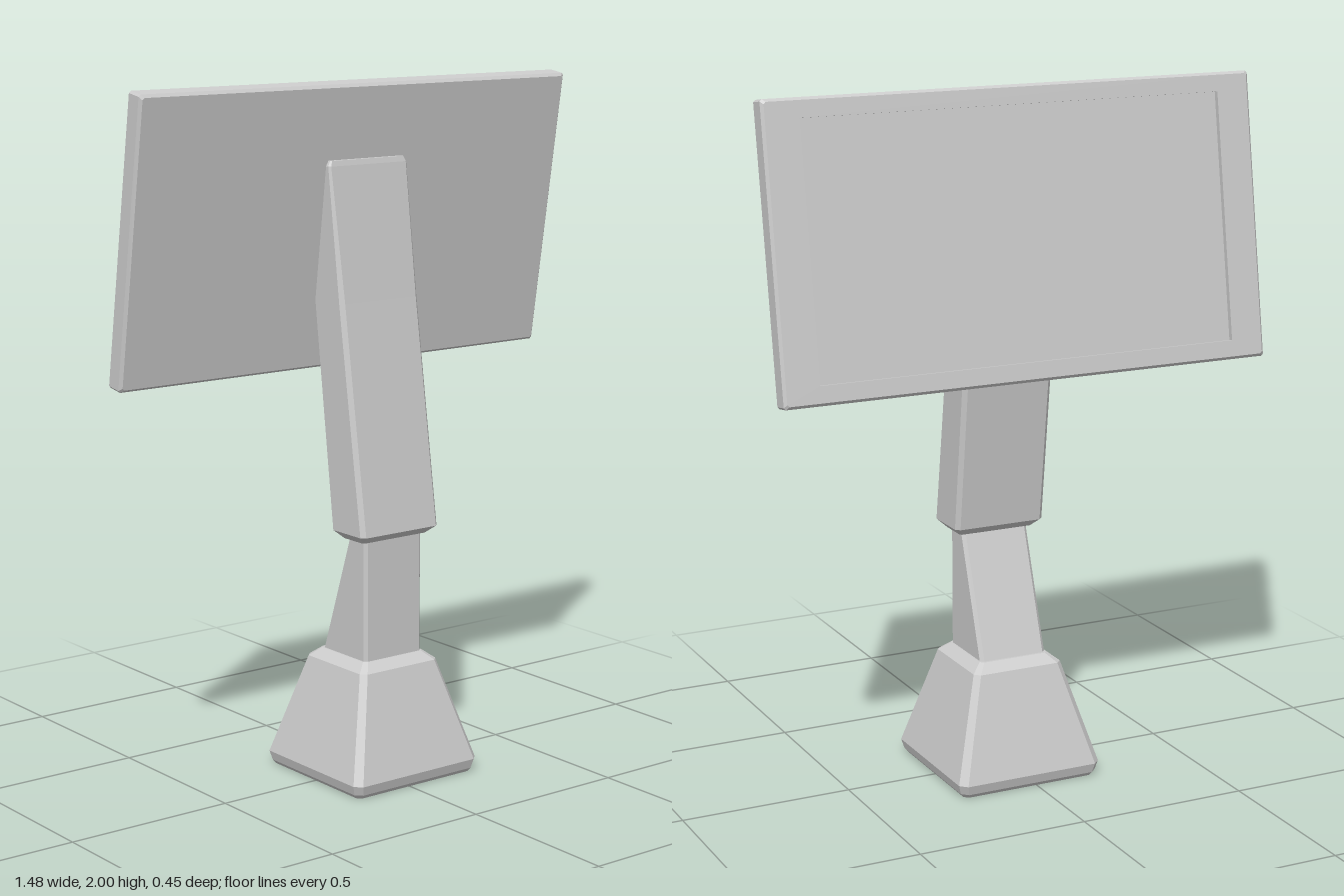
import * as THREE from 'three';

// Ring: [y, xCentre, halfX, zMin, zMax, cornerChamfer]; eight points, counter-clockwise from above
function ringPoints([y, cx, hx, z0, z1, c]) {
  const x0 = cx - hx, x1 = cx + hx;
  return [
    [x1, y, z1 - c], [x1, y, z0 + c], [x1 - c, y, z0], [x0 + c, y, z0],
    [x0, y, z0 + c], [x0, y, z1 - c], [x0 + c, y, z1], [x1 - c, y, z1],
  ];
}

// Skin a stack of chamfered rectangles and cap both ends
function loft(name, rings) {
  const n = 8, index = [];
  const positions = rings.flatMap(ringPoints).flat();
  for (let i = 0; i < rings.length - 1; i++) {
    for (let j = 0; j < n; j++) {
      const a = i * n + j, b = i * n + (j + 1) % n;
      index.push(a, b, b + n, a, b + n, a + n);
    }
  }
  const top = (rings.length - 1) * n;
  for (let j = 1; j < n - 1; j++) {
    index.push(0, j + 1, j);
    index.push(top, top + j, top + j + 1);
  }
  const indexed = new THREE.BufferGeometry();
  indexed.setAttribute('position', new THREE.Float32BufferAttribute(positions, 3));
  indexed.setIndex(index);
  const geometry = indexed.toNonIndexed();
  geometry.computeVertexNormals();
  const material = new THREE.MeshStandardMaterial({ color: 0xcccccc, flatShading: true });
  const mesh = new THREE.Mesh(geometry, material);
  mesh.name = name;
  return mesh;
}

export function createModel() {
  const model = new THREE.Group();
  model.name = 'displayStand';
  const cx = 0.022;

  // Tapered foot with a softened lower rim and a bevelled shoulder
  model.add(loft('base', [
    [0, cx, 0.205, -0.205, 0.205, 0.012],
    [0.012, cx, 0.215, -0.215, 0.215, 0.018],
    [0.04, cx, 0.223, -0.223, 0.223, 0.02],
    [0.335, cx, 0.138, -0.138, 0.138, 0.016],
    [0.36, cx, 0.107, -0.107, 0.107, 0.01],
  ]));

  // Wedge neck: upright front, sloping back
  model.add(loft('neck', [
    [0.35, cx, 0.103, -0.103, 0.103, 0.01],
    [0.72, cx, 0.103, 0.025, 0.103, 0.01],
  ]));

  // Leaning arm, its upper back cut to meet the panel
  model.add(loft('arm', [
    [0.71, cx, 0.114, 0.014, 0.108, 0.006],
    [0.733, cx, 0.138, -0.013, 0.137, 0.012],
    [1.385, cx, 0.138, -0.094, 0.041, 0.012],
    [1.765, cx, 0.138, -0.036, -0.014, 0.006],
    [1.78, cx, 0.13, -0.034, -0.018, 0.004],
  ]));

  // Tilted panel: bevelled slab with a recessed screen on the rear side
  const w = 0.742, h = 0.41, b = 0.008, t = 0.063;
  const slab = (d, inset) => [d, 0, w - inset, inset - h, h - inset, 0.006];
  const recess = (d) => [d, 0, 0.637, -0.355, 0.355, 0.0005];
  const panel = loft('screenPanel', [
    slab(0, b), slab(b, 0), slab(t - b, 0), slab(t, b),
    recess(t), recess(t - 0.015),
  ]);
  panel.rotation.x = -Math.PI / 2 + 0.157;
  panel.position.set(0, 1.585, -0.0635);
  model.add(panel);

  return model;
}
